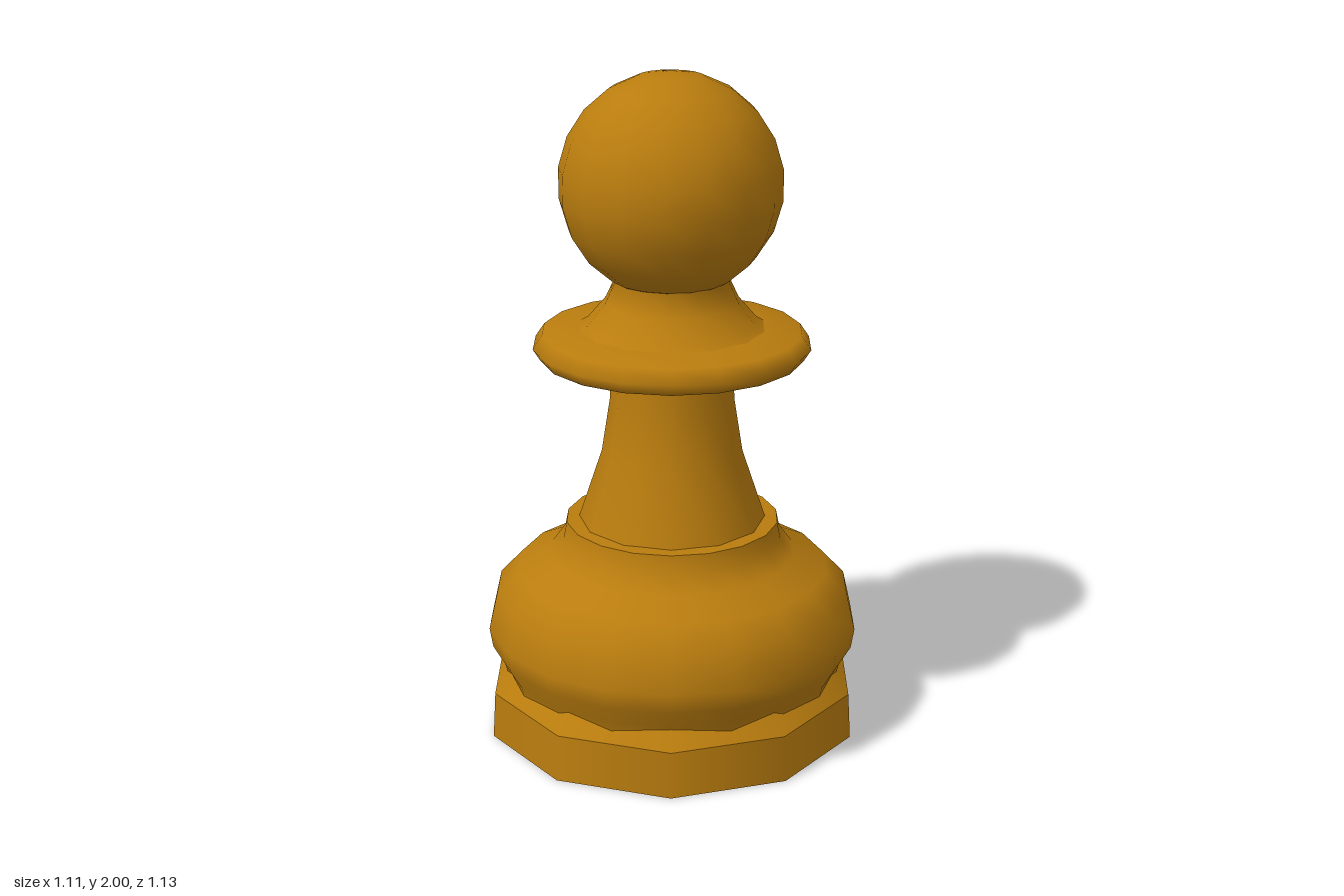
import * as THREE from 'three';

const amber = new THREE.MeshStandardMaterial({ color: 0xb97c0e });
amber.name = 'amber wood';

// Revolves [radius, height] pairs, listed from the bottom up
function turned(name, profile, sides, phase = 0) {
  const points = profile.map(([r, y]) => new THREE.Vector2(r, y));
  const mesh = new THREE.Mesh(new THREE.LatheGeometry(points, sides, phase), amber);
  mesh.name = name;
  return mesh;
}

export function createModel() {
  const pawn = new THREE.Group();
  pawn.name = 'pawn';
  const turn = THREE.MathUtils.degToRad(3);

  // Ten-sided foot: underside and rim kept apart for a hard edge
  pawn.add(turned('footUnderside', [[0, 0], [0.568, 0]], 10, turn));
  pawn.add(turned('footRim', [[0.568, 0], [0.56, 0.14]], 10, turn));
  pawn.add(turned('footTop', [[0.56, 0.14], [0.505, 0.2]], 10, turn));

  // Swelling body that ends in a small step
  pawn.add(turned('body', [
    [0.5, 0.14], [0.515, 0.2], [0.55, 0.26], [0.56, 0.32], [0.535, 0.43],
    [0.47, 0.5], [0.37, 0.545], [0.33, 0.6], [0.32, 0.65],
  ], 18, turn));
  pawn.add(turned('bodyStep', [[0.32, 0.65], [0.25, 0.652]], 18, turn));

  // Tapering stem
  pawn.add(turned('stem', [
    [0.28, 0.65], [0.21, 0.86], [0.185, 1.02], [0.18, 1.13],
  ], 12, turn));

  // Collar disc with a sloping neck above it
  pawn.add(turned('collar', [
    [0.16, 1.115], [0.2, 1.12], [0.39, 1.16], [0.412, 1.195], [0.385, 1.235], [0.26, 1.25],
  ], 18, turn));
  pawn.add(turned('neck', [
    [0.3, 1.235], [0.255, 1.26], [0.2, 1.325], [0.17, 1.39], [0.2, 1.45],
  ], 14, turn));

  // Round head
  const head = new THREE.Mesh(new THREE.SphereGeometry(0.328, 16, 11), amber);
  head.name = 'head';
  head.position.set(-0.004, 1.672, 0);
  pawn.add(head);

  return pawn;
}
